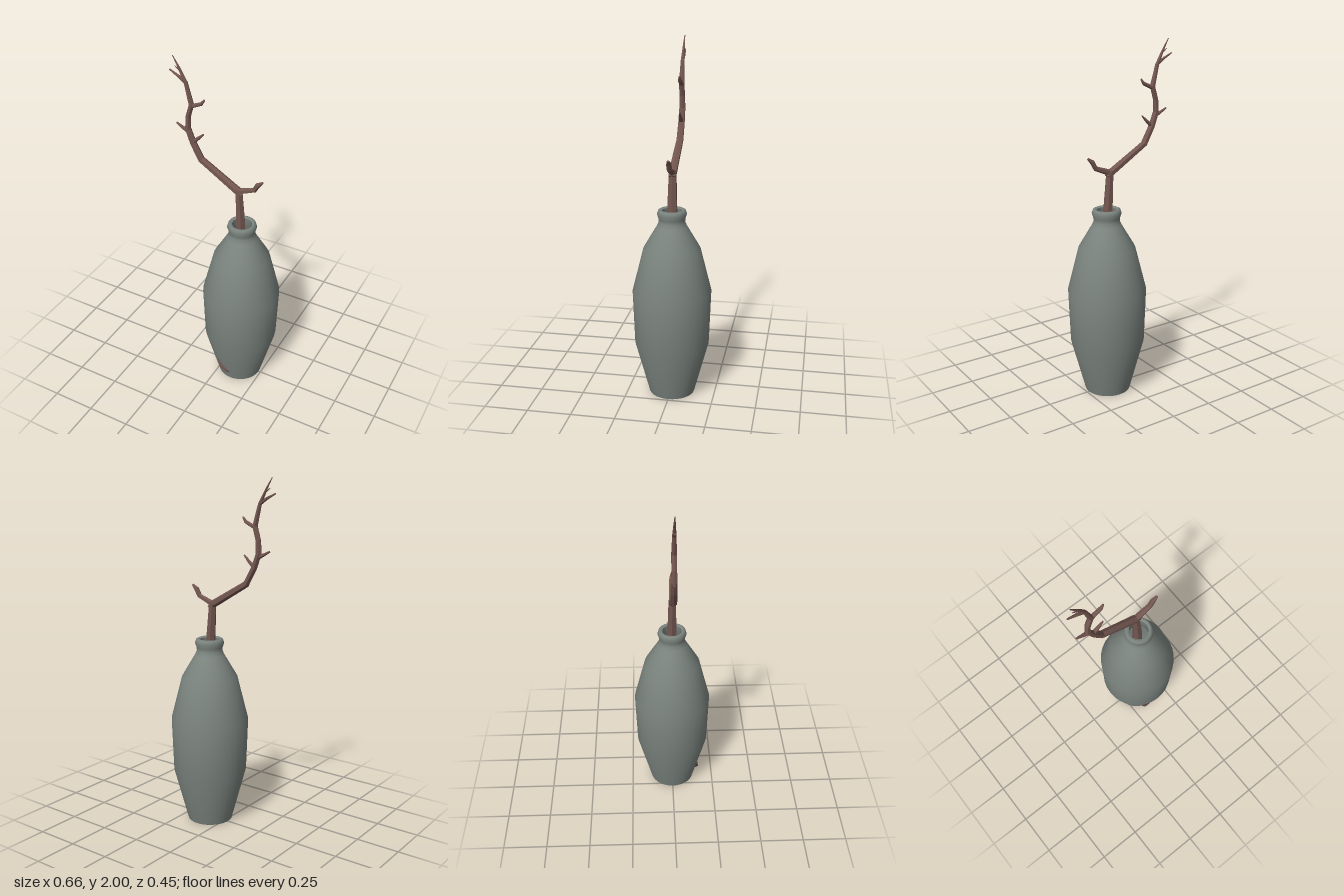
import * as THREE from 'three';

const vaseMat = new THREE.MeshStandardMaterial({ color: 0x7c8580 });
vaseMat.name = 'grey green glaze';
const barkMat = new THREE.MeshStandardMaterial({ color: 0x735650, flatShading: true });
barkMat.name = 'brown bark';

// Tapered six-sided limb through points [x, y, z, radius], with mitred joints and capped ends
function limb(name, pts, sides = 6) {
  const centre = pts.map(p => new THREE.Vector3(p[0], p[1], p[2]));
  const last = centre.length - 1;
  const zAxis = new THREE.Vector3(0, 0, 1);
  const rings = centre.map((c, i) => {
    const t = new THREE.Vector3();
    if (i > 0) t.add(c.clone().sub(centre[i - 1]).normalize());
    if (i < last) t.add(centre[i + 1].clone().sub(c).normalize());
    t.normalize();
    const n = new THREE.Vector3().crossVectors(zAxis, t).normalize();
    const b = new THREE.Vector3().crossVectors(t, n);
    return Array.from({ length: sides }, (_, j) => {
      const a = (j / sides) * Math.PI * 2;
      return c.clone()
        .addScaledVector(n, Math.cos(a) * pts[i][3])
        .addScaledVector(b, Math.sin(a) * pts[i][3] * 1.1);
    });
  });
  const tris = [];
  for (let j = 0; j < sides; j++) {
    const k = (j + 1) % sides;
    for (let i = 0; i < last; i++) {
      const [a, b, c, d] = [rings[i][j], rings[i][k], rings[i + 1][k], rings[i + 1][j]];
      tris.push(a, b, c, a, c, d);
    }
    tris.push(centre[0], rings[0][k], rings[0][j]);
    tris.push(centre[last], rings[last][j], rings[last][k]);
  }
  const geo = new THREE.BufferGeometry().setFromPoints(tris);
  geo.computeVertexNormals();
  const mesh = new THREE.Mesh(geo, barkMat);
  mesh.name = name;
  return mesh;
}

function lathe(name, profile) {
  const points = profile.map(([r, y]) => new THREE.Vector2(r, y));
  const mesh = new THREE.Mesh(new THREE.LatheGeometry(points, 32), vaseMat);
  mesh.name = name;
  return mesh;
}

export function createModel() {
  const model = new THREE.Group();
  model.name = 'vaseWithBranch';

  // Vase: outer wall with lip, hollow inside, flat base
  const vase = new THREE.Group();
  vase.name = 'vase';
  vase.position.x = 0.107;
  vase.add(lathe('vaseBody', [
    [0.13, 0], [0.212, 0.31], [0.223, 0.62], [0.16, 0.87], [0.084, 1.0],
    [0.073, 1.025], [0.075, 1.045], [0.083, 1.07], [0.077, 1.09], [0.066, 1.096], [0.055, 1.088],
  ]));
  vase.add(lathe('vaseInside', [
    [0.055, 1.088], [0.058, 1.01], [0.145, 0.86], [0.208, 0.62], [0.197, 0.31], [0.12, 0.02], [0, 0.02],
  ]));
  const base = new THREE.Mesh(new THREE.CircleGeometry(0.13, 32), vaseMat);
  base.name = 'vaseBase';
  base.rotation.x = Math.PI / 2;
  vase.add(base);
  model.add(vase);

  // Branch: stem, long bent bough and its twigs, all in one plane
  const branch = new THREE.Group();
  branch.name = 'branch';
  branch.add(limb('stem', [
    [0.108, 0.05, 0, 0.042], [0.098, 1.09, 0, 0.027], [0.085, 1.29, 0, 0.021],
  ]));
  branch.add(limb('bough', [
    [0.1, 1.275, 0, 0.018], [0.075, 1.298, 0, 0.022], [-0.145, 1.43, 0, 0.019], [-0.195, 1.52, 0, 0.018],
    [-0.225, 1.6, 0, 0.017], [-0.222, 1.67, 0, 0.015], [-0.2, 1.745, 0, 0.015],
    [-0.23, 1.862, 0, 0.011], [-0.272, 1.945, 0, 0.006], [-0.305, 2.0, 0, 0.002],
  ]));
  const twigs = {
    forkTwig: [[0.08, 1.295, 0, 0.018], [0.177, 1.332, 0, 0.014], [0.198, 1.37, 0, 0.014], [0.225, 1.392, 0, 0.006]],
    lowerLeftTwig: [[-0.195, 1.525, 0, 0.012], [-0.16, 1.558, 0, 0.009], [-0.13, 1.588, 0, 0.004]],
    lowerRightTwig: [[-0.22, 1.58, 0, 0.012], [-0.255, 1.596, 0, 0.009], [-0.295, 1.617, 0, 0.005]],
    upperLeftTwig: [[-0.205, 1.735, 0, 0.012], [-0.14, 1.765, 0, 0.01], [-0.122, 1.79, 0, 0.005]],
    upperRightTwig: [[-0.228, 1.86, 0, 0.009], [-0.27, 1.89, 0, 0.008], [-0.327, 1.919, 0, 0.004]],
    tipTwig: [[-0.26, 1.922, 0, 0.005], [-0.293, 1.945, 0, 0.002]],
  };
  for (const [name, pts] of Object.entries(twigs)) branch.add(limb(name, pts));

  // Root end just breaking through the front of the vase
  branch.add(limb('rootTip', [
    [0.115, 0.055, 0.1, 0.02], [0.095, 0.075, 0.14, 0.019], [0.06, 0.1, 0.143, 0.019], [0.034, 0.148, 0.146, 0.008],
  ]));
  model.add(branch);
  return model;
}
